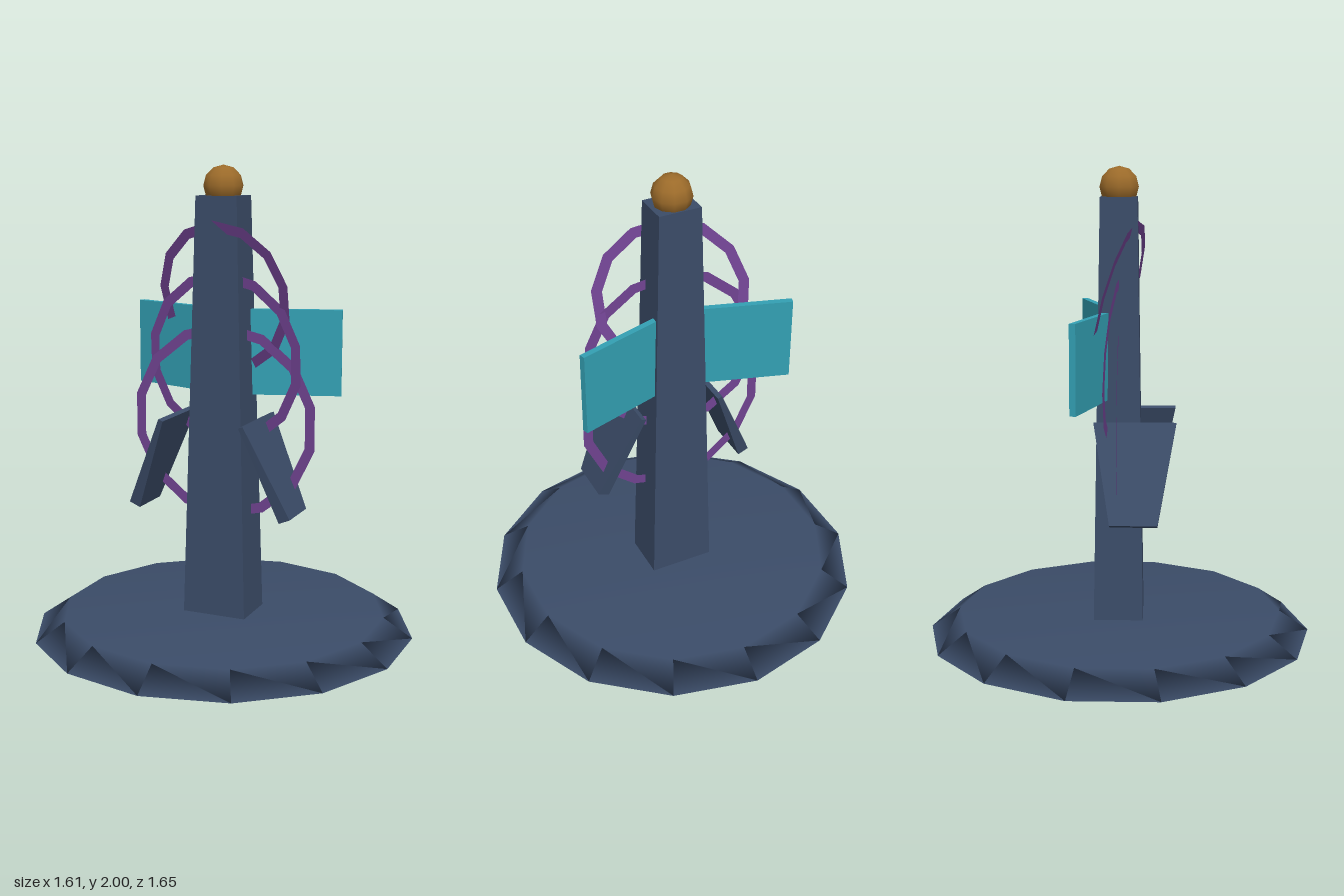
import * as THREE from 'three';

const mat = (color, extra = {}) => Object.assign(new THREE.MeshStandardMaterial({ color }), extra);
const slate = mat(0x3b4c68);
const slateFlat = mat(0x3b4c68, { flatShading: true });
const teal = mat(0x33a0b3);
const purple = mat(0x6f4290, { side: THREE.DoubleSide });
const gold = mat(0x9c6b2a);

function add(parent, name, geometry, material) {
  const mesh = new THREE.Mesh(geometry, material);
  mesh.name = name;
  parent.add(mesh);
  return mesh;
}

// Unit box whose two ends (y = +0.5 / -0.5) are given as { c: centre, u: half x axis, w: half z axis }
function taperedSlab(top, bottom) {
  const g = new THREE.BoxGeometry(1, 1, 1);
  const p = g.attributes.position;
  for (let i = 0; i < p.count; i++) {
    const end = p.getY(i) > 0 ? top : bottom;
    const sx = Math.sign(p.getX(i)), sz = Math.sign(p.getZ(i));
    p.setXYZ(i, end.c[0] + sx * end.u[0], end.c[1] + sx * end.u[1], end.c[2] + sz * end.w);
  }
  g.computeVertexNormals();
  return g;
}

// Paper-thin flat ring or arc, leaned by shifting z with x and y
function leaningRing({ y, r, segments, start, arc, leanX, leanY }) {
  const g = new THREE.RingGeometry(r - 0.022, r + 0.022, segments, 1, start, arc);
  const p = g.attributes.position;
  for (let i = 0; i < p.count; i++) p.setZ(i, leanX * p.getX(i) + leanY * p.getY(i));
  g.translate(0, y, 0);
  g.computeVertexNormals();
  return g;
}

export function createModel() {
  const model = new THREE.Group();

  // Fourteen-sided solid base, shaded smoothly across its edges
  const profile = [[0, 0], [0.825, 0], [0.7, 0.085], [0, 0.085]];
  add(model, 'base', new THREE.LatheGeometry(
    profile.map(([x, y]) => new THREE.Vector2(x, y)), 14), slate);

  // Tapering square mast and ball on top
  add(model, 'mast', taperedSlab(
    { c: [0, 1.875, 0], u: [0.092, 0], w: 0.077 },
    { c: [0, 0.08, 0], u: [0.142, 0], w: 0.105 }), slateFlat);
  const ball = add(model, 'topBall', new THREE.SphereGeometry(0.085, 10, 6), gold);
  ball.position.y = 1.915;

  for (const [side, s] of [['left', 1], ['right', -1]]) {
    // Swept-back panel
    const panel = add(model, side + 'Panel', new THREE.BoxGeometry(0.42, 0.365, 0.027), teal);
    panel.position.set(s * 0.27, 1.22, -0.107);
    panel.rotation.y = s * 0.3;

    // Splayed fin, thicker and narrower towards its foot
    add(model, side + 'Fin', taperedSlab(
      { c: [s * 0.18, 0.955, 0.07], u: [0.01, s * 0.004], w: 0.172 },
      { c: [s * 0.345, 0.557, 0.067], u: [0.024, s * 0.01], w: 0.098 }), slateFlat);
  }

  // Three flat rings around the mast, leaning more with height, the upper one open below
  const half = Math.PI / 14, full = Math.PI * 2;
  const rings = {
    lowerRing: { y: 0.92, r: 0.402, segments: 14, start: half, arc: full, leanX: 0, leanY: 0 },
    middleRing: { y: 1.19, r: 0.354, segments: 14, start: half, arc: full, leanX: 0.145, leanY: 0.05 },
    upperRing: { y: 1.45, r: 0.304, segments: 10, start: -1.2, arc: 4.71, leanX: 0.21, leanY: 0.255 },
  };
  for (const [name, ring] of Object.entries(rings)) add(model, name, leaningRing(ring), purple);

  return model;
}
